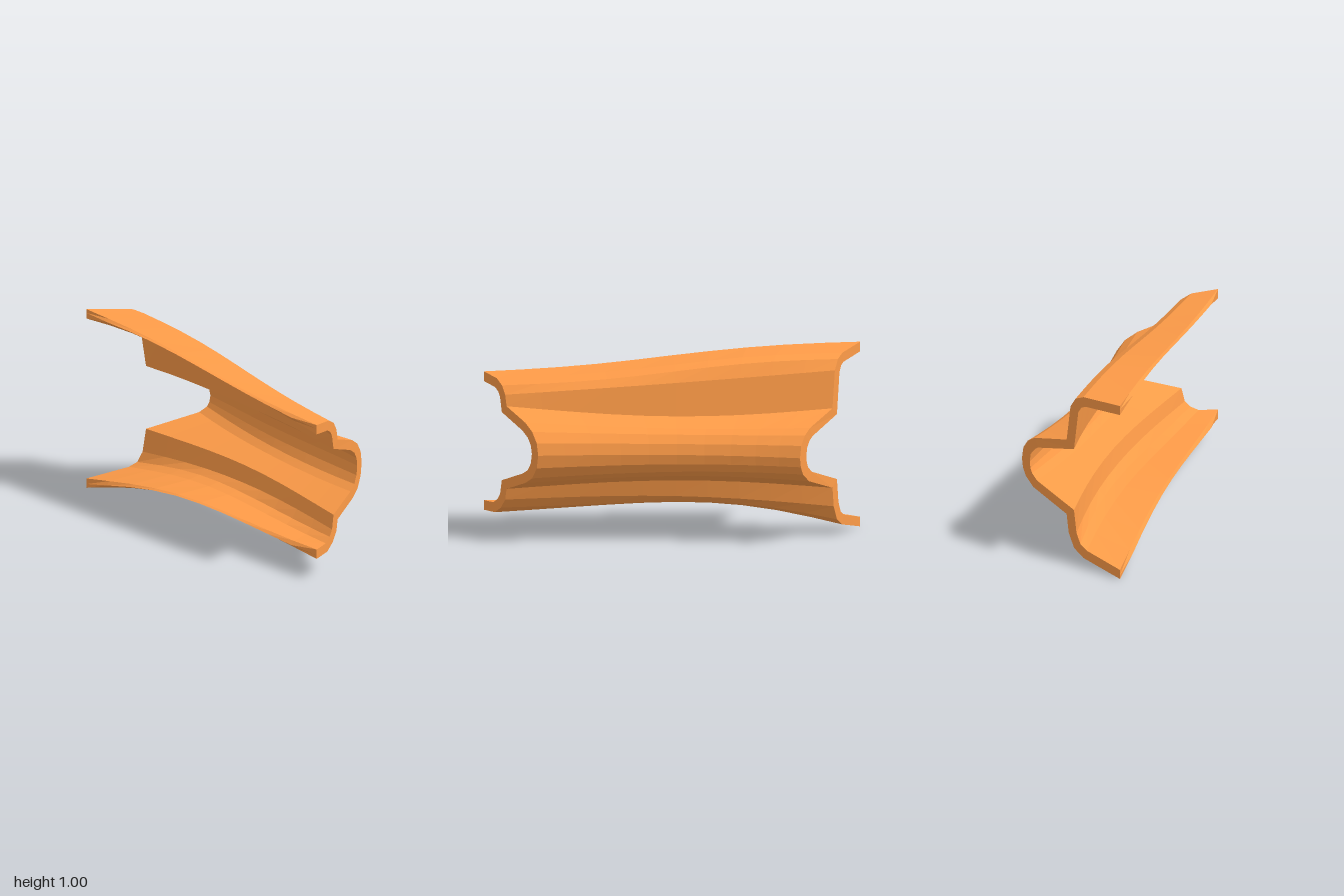
import * as THREE from 'three';

// Outer profile, top flange to bottom flange: [front x, front y, back x, back y, bow x, bow y]
const PROFILE = [
  [-0.31, 0.86, -0.31, 0.998, 0, 0.006],
  [-0.18, 0.845, -0.08, 0.98, 0.01, 0.006],
  [-0.13, 0.815, -0.03, 0.955, 0.012, 0.006],
  [-0.1, 0.77, 0.003, 0.9, 0.018, 0],
  [-0.087, 0.71, 0.028, 0.7, 0.025, -0.045],
  [0.08, 0.65, 0.24, 0.633, -0.04, -0.025],
  [0.14, 0.61, 0.285, 0.6, -0.055, -0.015],
  [0.178, 0.555, 0.315, 0.55, -0.06, -0.008],
  [0.19, 0.49, 0.325, 0.485, -0.06, 0],
  [0.178, 0.42, 0.318, 0.435, -0.06, 0.008],
  [0.14, 0.36, 0.3, 0.393, -0.055, 0.015],
  [0.08, 0.325, 0.25, 0.348, -0.04, 0.025],
  [-0.087, 0.265, 0.028, 0.272, 0.025, 0.047],
  [-0.1, 0.205, 0.015, 0.17, 0.018, 0.04],
  [-0.14, 0.155, -0.02, 0.093, 0.012, 0.068],
  [-0.2, 0.12, -0.08, 0.055, 0.01, 0.09],
  [-0.31, 0.115, -0.31, 0.003, 0, 0.112],
];
const WALL = 0.052, STATIONS = 10, N = PROFILE.length;

// Slanted, slightly curved end cuts
const frontCut = (x) => { const u = x + 0.31; return 1 - 0.45 * u - 0.13 * u * u; };
const backCut = (x) => { const u = x + 0.31; return -1 + 0.42 * u + 0.23 * u * u; };

// The wall is full thickness at both ends and thin in the middle
const wallAt = (t) => WALL * (0.12 + 0.88 * Math.abs(2 * t - 1) ** 2.2);

// Outer outline at t (0 front, 1 back); the flanges also sway along the length
function outline(t) {
  const bow = Math.sin(Math.PI * t), sway = -0.013 * Math.sin(2 * Math.PI * t);
  return PROFILE.map(([fx, fy, bx, by, wx, wy], i) => {
    const flange = i < 3 || i > N - 4;
    return new THREE.Vector2(
      THREE.MathUtils.lerp(fx, bx, t) + wx * bow,
      THREE.MathUtils.lerp(fy, by, t) + wy * bow + (flange ? sway : 0));
  });
}

// Mitred inward offset of an outline
function inset(points, wall) {
  const normal = (a, b) => {
    const d = b.clone().sub(a).normalize();
    return new THREE.Vector2(d.y, -d.x);
  };
  return points.map((p, i) => {
    if (i === 0) return new THREE.Vector2(p.x, p.y - wall);
    if (i === N - 1) return new THREE.Vector2(p.x, p.y + wall);
    const n1 = normal(points[i - 1], p), n2 = normal(p, points[i + 1]);
    const m = n1.clone().add(n2).normalize();
    return p.clone().addScaledVector(m, wall / Math.max(0.6, m.dot(n1)));
  });
}

// Closed ring: outer wall, bottom lip, inner wall, top lip
function ring(t) {
  const outer = outline(t), inner = inset(outer, wallAt(t));
  const lipDepth = t === 0 || t === 1 ? 0 : 0.017;
  const lip = (i) => {
    const p = outer[i].clone().lerp(inner[i], 0.4);
    p.x -= lipDepth;
    return p;
  };
  const loop = [...outer, lip(N - 1), ...inner.slice().reverse(), lip(0)];
  // Every profile line spans the two end cuts in z
  return loop.map((p) => {
    const x = Math.max(p.x, -0.31);
    return [p.x, p.y, THREE.MathUtils.lerp(frontCut(x), backCut(x), t)];
  });
}

function shellGeometry() {
  const rings = [];
  for (let j = 0; j <= STATIONS; j++) rings.push(ring(j / STATIONS));
  const M = rings[0].length, index = [];
  // Walls
  for (let j = 0; j < STATIONS; j++) {
    for (let i = 0; i < M; i++) {
      const k = (i + 1) % M;
      const a = j * M + i, b = j * M + k, c = a + M, d = b + M;
      index.push(a, b, c, b, d, c);
    }
  }
  // End caps
  const last = STATIONS * M;
  const cap = (a, b, c) => {
    index.push(a, b, c);
    index.push(last + a, last + c, last + b);
  };
  for (let i = 0; i < N - 1; i++) {
    const innerA = 2 * N - i, innerB = innerA - 1;
    cap(i, innerA, i + 1);
    cap(i + 1, innerA, innerB);
  }

  const geometry = new THREE.BufferGeometry();
  geometry.setAttribute('position', new THREE.Float32BufferAttribute(rings.flat(2), 3));
  geometry.setIndex(index);
  const flat = geometry.toNonIndexed();
  flat.computeVertexNormals();
  return flat;
}

export function createModel() {
  const group = new THREE.Group();
  group.name = 'channelBracket';
  const shell = new THREE.Mesh(shellGeometry(),
    new THREE.MeshStandardMaterial({ color: 0xff9c48, flatShading: true }));
  shell.name = 'channelShell';
  group.add(shell);
  return group;
}
